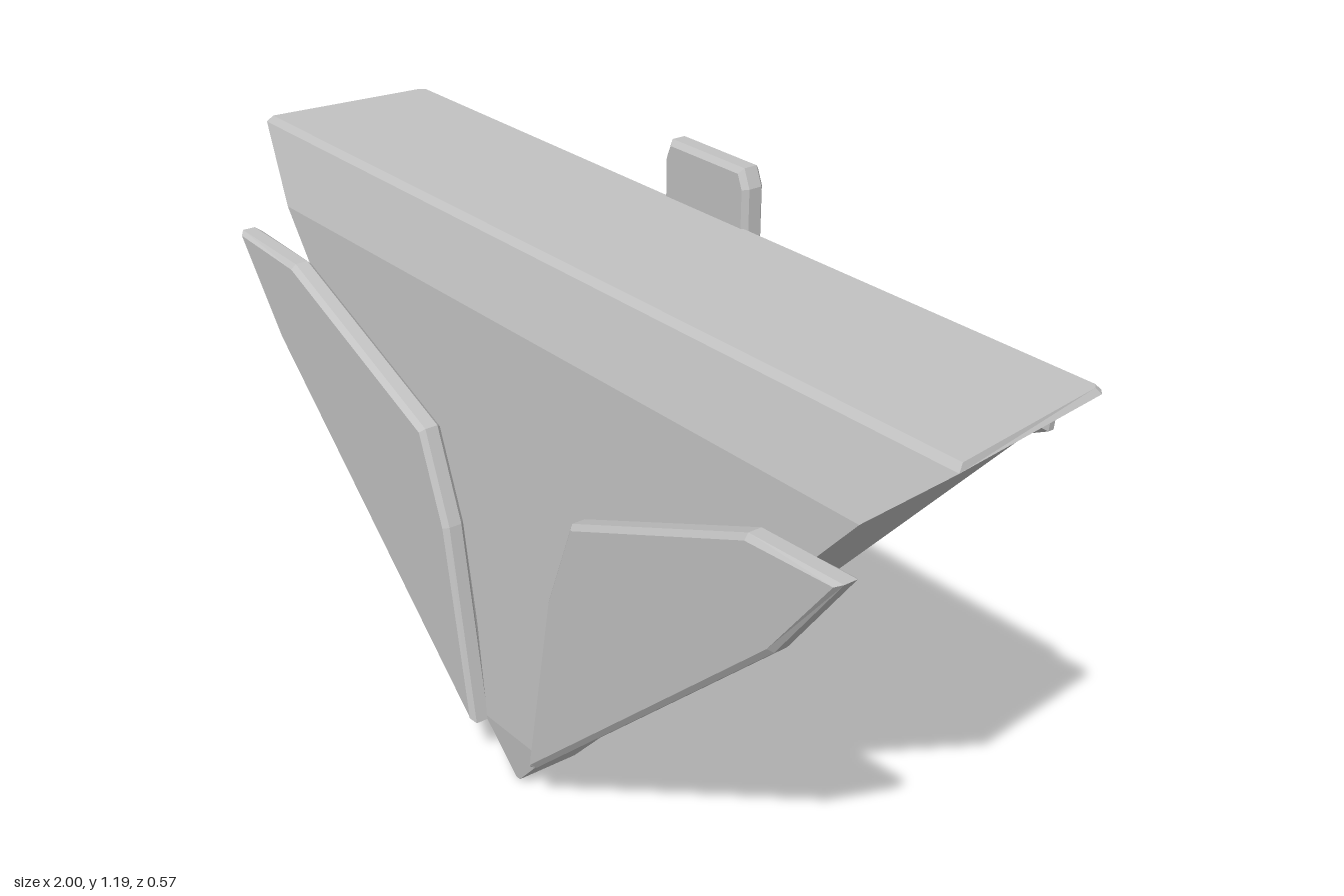
import * as THREE from 'three';

const hullGrey = new THREE.MeshStandardMaterial({ color: 0xc2c2c2 });
hullGrey.name = 'hullGrey';

// Wedge hull lofted through horizontal rings, flat faceted
function hullGeometry() {
  // front half-width, y, z; back half-width, y, z; bevel
  const sections = [
    [0.006, 0, 0.243, 0.006, 0, 0.107, 0.003],
    [0.1, 0.1, 0.25, 0.115, 0.14, -0.014, 0.01],
    [0.85, 0.925, 0.197, 0.805, 0.93, -0.215, 0.012],
    [0.998, 1.058, 0.151, 0.955, 1.065, -0.213, 0.012],
    [0.992, 1.07, 0.139, 0.947, 1.075, -0.204, 0.01],
  ];
  const rings = sections.map(([fw, fy, fz, bw, by, bz, b]) => [
    [fw, fy, fz], [bw, by, bz + b], [bw - b, by, bz],
    [b - bw, by, bz], [-bw, by, bz + b], [-fw, fy, fz],
  ]);
  const pos = [];
  const tri = (...corners) => corners.forEach((p) => pos.push(...p));
  for (let r = 0; r < rings.length - 1; r++) {
    for (let i = 0; i < 6; i++) {
      const j = (i + 1) % 6;
      const a = rings[r][i], b = rings[r][j], c = rings[r + 1][j], d = rings[r + 1][i];
      // mirrored diagonals on the two sides
      if (i < 3) { tri(a, b, c); tri(a, c, d); }
      else { tri(a, b, d); tri(b, c, d); }
    }
  }
  const top = rings[rings.length - 1], tip = rings[0];
  for (let i = 1; i < 5; i++) {
    tri(top[0], top[i], top[i + 1]);
    tri(tip[0], tip[i + 1], tip[i]);
  }
  const g = new THREE.BufferGeometry();
  g.setAttribute('position', new THREE.Float32BufferAttribute(pos, 3));
  g.computeVertexNormals();
  return g;
}

// Bevelled slab between two z depths; the outline is its full outer size
function slab(name, outline, zBack, zFront, bevel, side = 1) {
  const pts = outline.map(([x, y]) => new THREE.Vector2(x * side, y));
  const depth = zFront - zBack;
  const g = new THREE.ExtrudeGeometry(new THREE.Shape(pts), {
    depth: depth - 2 * bevel, bevelEnabled: true, bevelThickness: bevel,
    bevelSize: bevel, bevelOffset: -bevel, bevelSegments: 1, steps: 1,
  });
  g.translate(0, 0, zBack + bevel);
  const mesh = new THREE.Mesh(g, hullGrey);
  mesh.name = name;
  return mesh;
}

export function createModel() {
  const model = new THREE.Group();
  model.name = 'wedgeArmour';

  const hull = new THREE.Mesh(hullGeometry(), hullGrey);
  hull.name = 'hull';
  model.add(hull);

  // Upright tab on the back
  model.add(slab('backTab', [
    [-0.077, 0.71], [0.077, 0.71], [0.117, 0.84], [0.117, 1.15],
    [0.102, 1.186], [-0.102, 1.186], [-0.117, 1.15], [-0.117, 0.84],
  ], -0.248, -0.2, 0.01));

  for (const side of [1, -1]) {
    const label = side > 0 ? 'left' : 'right';

    // Swept front plate
    model.add(slab(label + 'FrontPlate', [
      [0.092, 0.092], [0.11, 0.1], [0.76, 0.685], [0.905, 0.875],
      [0.69, 0.868], [0.232, 0.682], [0.162, 0.5],
    ], 0.238, 0.285, 0.01, side));

    // Back panel with two raised bars
    const panel = new THREE.Group();
    panel.name = label + 'BackPanel';
    panel.add(slab('panel', [
      [0.175, 1.0], [0.18, 0.73], [0.38, 0.72], [0.815, 0.93], [0.822, 1.0],
    ], -0.275, -0.245, 0.009, side));
    for (const [x, y, w, h] of [[0.515, 0.955, 0.26, 0.014], [0.52, 0.895, 0.215, 0.032]]) {
      const bar = new THREE.Mesh(new THREE.BoxGeometry(w, h, 0.014), hullGrey);
      bar.name = 'bar';
      bar.position.set(side * x, y, -0.277);
      panel.add(bar);
    }
    model.add(panel);
  }
  return model;
}
